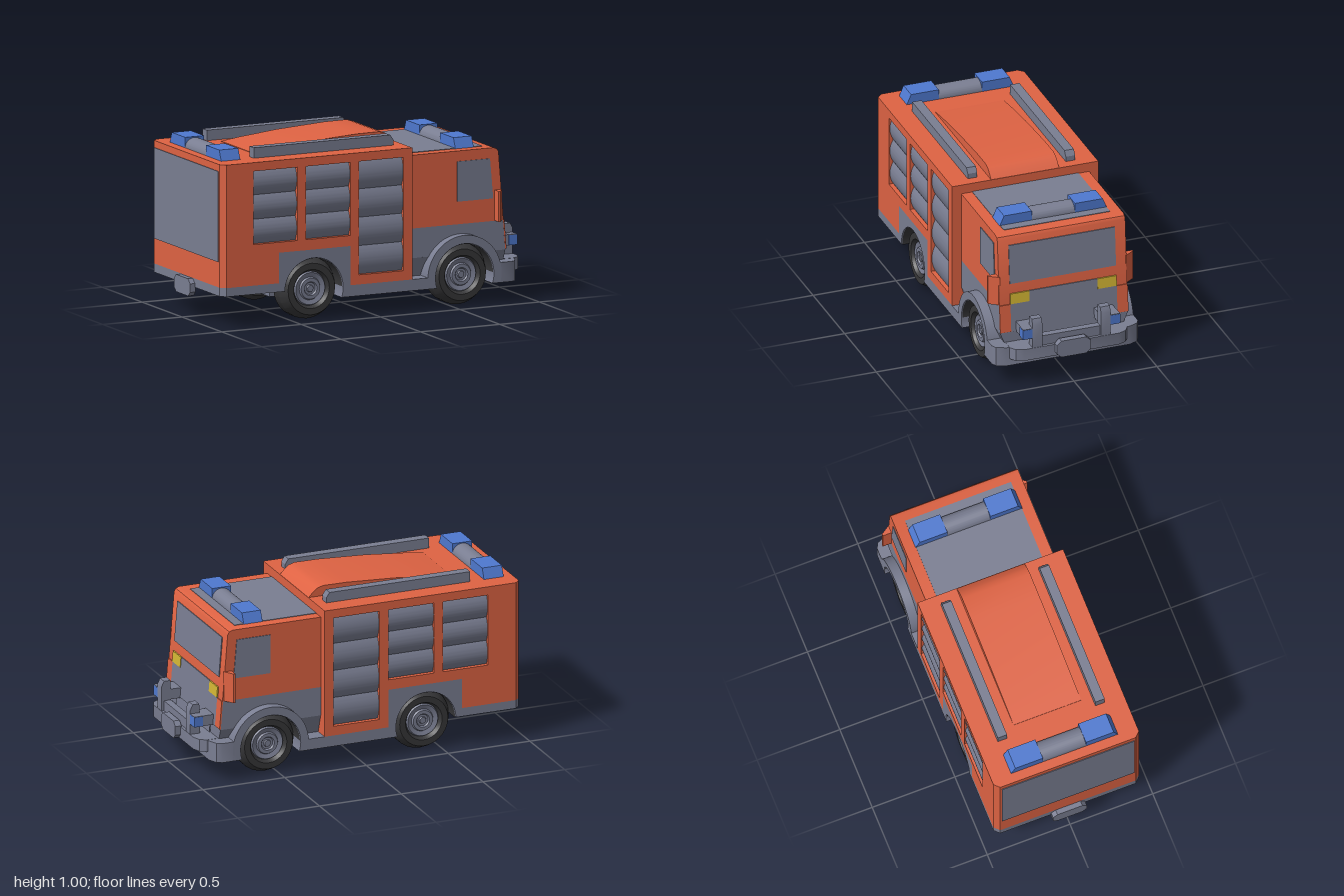
import * as THREE from 'three';
import { toCreasedNormals } from 'three/addons/utils/BufferGeometryUtils.js';

const paint = (name, color) => Object.assign(new THREE.MeshStandardMaterial({ color }), { name });

export function createModel() {
  const truck = new THREE.Group();
  truck.name = 'fireTruck';
  const red = paint('orangeRed', 0xdf6343);
  const grey = paint('grey', 0x7a7e92);
  const black = paint('tyreBlack', 0x373739);
  black.side = THREE.DoubleSide;
  const blue = paint('blue', 0x4f79d0);
  const yellow = paint('yellow', 0xd4b634);

  const add = (name, geometry, material) => {
    const mesh = new THREE.Mesh(geometry, material);
    mesh.name = name;
    truck.add(mesh);
    return mesh;
  };
  const outline = (pts) => new THREE.Shape(pts.map(([x, y]) => new THREE.Vector2(x, y)));
  const extrude = (shape, depth) =>
    toCreasedNormals(new THREE.ExtrudeGeometry(shape, { depth, bevelEnabled: false, curveSegments: 20 }), 0.5);
  // box from its limits
  const box = (name, mat, x0, x1, y0, y1, z0, z1) =>
    add(name, new THREE.BoxGeometry(x1 - x0, y1 - y0, z1 - z0)
      .translate((x0 + x1) / 2, (y0 + y1) / 2, (z0 + z1) / 2), mat);
  // side profile (x, y) extruded across z
  const prism = (name, mat, shape, z0, z1) =>
    add(name, extrude(Array.isArray(shape) ? outline(shape) : shape, z1 - z0).translate(0, 0, z0), mat);
  // plan (x, z) extruded upward
  const plan = (name, mat, pts, y0, y1) =>
    add(name, extrude(outline(pts.map(([x, z]) => [x, -z])), y1 - y0).rotateX(-Math.PI / 2).translate(0, y0, 0), mat);
  // cross-section (z, y) extruded along x
  const section = (name, mat, pts, x0, x1) =>
    add(name, extrude(outline(pts.map(([z, y]) => [-z, y])), x1 - x0).rotateY(Math.PI / 2).translate(x0, 0, 0), mat);
  // z range on side s
  const side = (s, a, b) => (s > 0 ? [a, b] : [-b, -a]);

  const wheelY = 0.178, archR = 0.184, rearX = -0.39, frontX = 0.56;
  const archAngle = Math.asin((0.12 - wheelY) / archR);

  // Chassis and solid cores
  box('chassis', grey, -0.57, 0.83, 0.12, 0.45, -0.24, 0.24);
  box('bodyCore', red, -0.97, 0.23, 0.41, 0.94, -0.41, 0.41);
  box('rearLowerBody', red, -0.97, -0.61, 0.235, 0.41, -0.41, 0.41);
  box('middleLowerBody', red, -0.16, 0.23, 0.185, 0.41, -0.41, 0.41);
  plan('rearSill', grey, [[-0.575, 0.44], [-0.575, -0.44], [-0.94, -0.44], [-0.97, -0.41], [-0.97, 0.41], [-0.94, 0.44]], 0.185, 0.235);
  box('middleSill', grey, -0.2, 0.375, 0.12, 0.185, -0.44, 0.44);
  box('rearPanel', grey, -0.974, -0.969, 0.38, 0.9, -0.4, 0.4);

  // Cab, with a slanting front
  const slope = (y) => 0.8 + 0.05 * (0.86 - y) / 0.62;
  prism('cabUpper', red, [[0.23, 0.465], [slope(0.465), 0.465], [0.8, 0.86], [0.79, 0.877], [0.77, 0.885], [0.23, 0.885]], -0.385, 0.385);
  const frontPlate = (name, mat, y0, y1, z0, z1, t = 0.005) =>
    prism(name, mat, [[slope(y0) - 0.003, y0], [slope(y0) + t, y0], [slope(y1) + t, y1], [slope(y1) - 0.003, y1]], z0, z1);
  frontPlate('windscreen', grey, 0.59, 0.825, -0.32, 0.32);
  frontPlate('grille', grey, 0.3, 0.47, -0.32, 0.32);
  frontPlate('grilleTop', grey, 0.47, 0.53, -0.205, 0.205);
  frontPlate('cabFrontLower', grey, 0.235, 0.465, -0.24, 0.24, 0);
  box('cabRoofPanel', grey, 0.23, 0.73, 0.883, 0.888, -0.32, 0.32);

  const shutters = [[-0.77, -0.495, 0.47, 3], [-0.44, -0.16, 0.47, 3], [-0.105, 0.175, 0.24, 4]];
  for (const s of [1, -1]) {
    // Body side wall with shutter openings
    const wall = outline([[-0.94, 0.235], [-0.61, 0.235], [-0.61, 0.41], [-0.16, 0.41], [-0.16, 0.185],
      [0.23, 0.185], [0.23, 0.94], [-0.94, 0.94]]);
    for (const [x0, x1, y0] of shutters)
      wall.holes.push(new THREE.Path([[x0, y0], [x0, 0.89], [x1, 0.89], [x1, y0]].map((p) => new THREE.Vector2(...p))));
    prism('bodySide', red, wall, ...side(s, 0.41, 0.44));
    plan('rearCorner', red, [[-0.94, s * 0.41], [-0.94, s * 0.44], [-0.97, s * 0.41]], 0.235, 0.94);

    // Roller shutters made of bulging slats
    for (const [x0, x1, y0, n] of shutters) {
      const h = (0.89 - y0) / n;
      const profile = new THREE.Shape().moveTo(-0.01, y0);
      profile.lineTo(0.004, y0);
      for (let i = 0; i < n; i++) profile.quadraticCurveTo(0.045, y0 + h * (i + 0.5), 0.004, y0 + h * (i + 1));
      profile.lineTo(-0.01, 0.89);
      const slats = add('shutter', extrude(profile, x1 - x0).translate(0, 0, (x0 - x1) / 2), grey);
      slats.rotation.y = -s * Math.PI / 2;
      slats.position.set((x0 + x1) / 2, 0, s * 0.41);
    }

    // Rear wheel panel
    const rear = new THREE.Shape().moveTo(-0.16, 0.12);
    rear.lineTo(-0.16, 0.41).lineTo(-0.61, 0.41).lineTo(-0.61, 0.185);
    rear.absarc(rearX, wheelY, archR, Math.PI - 0.038, archAngle, true);
    prism('rearWheelPanel', grey, rear, ...side(s, 0.24, 0.44));

    // Lower cab side, tucked in along its bottom edge
    const lower = outline([[slope(0.295), 0.295], [slope(0.465), 0.465], [0.23, 0.465], [0.23, 0.295]]);
    lower.absarc(frontX, wheelY, archR, Math.PI - 0.69, 0.69, true);
    prism('cabLowerSide', grey, lower, ...side(s, 0.24, 0.385));
    for (const [x0, x1, y0, z] of [[0.23, 0.372, 0.18, 0.345], [0.75, 0.843, 0.235, 0.36]]) {
      const tuck = [[s * 0.24, y0], [s * z, y0], [s * 0.385, 0.295], [s * 0.24, 0.295]];
      section('cabSkirt', grey, tuck, x0, x1);
    }

    // Front mudguard
    const guard = new THREE.Shape();
    guard.absarc(frontX, wheelY, archR, archAngle, Math.PI - archAngle, false);
    guard.absarc(frontX, wheelY, 0.232, Math.PI + 0.253, -0.253, true);
    prism('frontMudguard', grey, guard, ...side(s, 0.24, 0.44));

    // Cab details
    prism('sideWindow', grey, [[0.54, 0.595], [0.765, 0.595], [0.745, 0.825], [0.54, 0.825]], ...side(s, 0.382, 0.389));
    frontPlate('frontPillarLower', red, 0.3, 0.466, ...side(s, 0.32, 0.386));
    frontPlate('headlight', yellow, 0.468, 0.53, ...side(s, 0.205, 0.32), 0.008);
    plan('mirror', red, [[0.775, s * 0.38], [0.775, s * 0.437], [0.787, s * 0.437], [0.825, s * 0.38]], 0.467, 0.642);

    // Bull bar side and fog light
    prism('bullBarPost', grey, [[0.905, 0.23], [0.965, 0.23], [0.965, 0.38], [0.95, 0.412], [0.91, 0.412]], ...side(s, 0.177, 0.235));
    box('bullBarArm', grey, 0.83, 0.915, 0.297, 0.358, ...side(s, 0.18, 0.29));
    box('fogLight', blue, 0.912, 0.965, 0.297, 0.355, ...side(s, 0.235, 0.293));
    box('fogLightCap', grey, 0.912, 0.964, 0.354, 0.359, ...side(s, 0.235, 0.292));

    // Roof rail
    prism('roofRail', grey, [[-0.71, 0.935], [0.17, 0.935], [0.17, 0.97], [0.15, 1], [-0.71, 1]], ...side(s, 0.267, 0.323));

    // Wheels in dark wheel arches
    for (const x of [rearX, frontX]) {
      const liner = new THREE.CylinderGeometry(0.181, 0.181, 0.19, 28, 1, true, -1.55, 3.1);
      add('wheelArchLiner', liner.rotateX(-Math.PI / 2), black).position.set(x, wheelY, s * 0.34);
      const lathe = (name, mat, pts) => {
        const g = new THREE.LatheGeometry(pts.map((p) => new THREE.Vector2(...p)), 28);
        const mesh = add(name, toCreasedNormals(g, 0.5), mat);
        mesh.rotation.x = s * Math.PI / 2;
        mesh.position.set(x, wheelY, s * 0.325);
      };
      lathe('tyre', black, [[0, -0.085], [0.148, -0.085], [0.178, -0.04], [0.178, 0.025], [0.148, 0.085],
        [0.112, 0.085], [0.098, 0.06], [0.098, 0.04]]);
      lathe('hub', grey, [[0.1, 0.055], [0.092, 0.07], [0.066, 0.062], [0.06, 0.074],
        [0.04, 0.074], [0.034, 0.064], [0.022, 0.064], [0.018, 0.072], [0, 0.072]]);
    }
  }

  // Front bumper with a projecting step, bull bar and end plates
  plan('frontBumper', grey, [[0.75, 0.44], [0.855, 0.44], [0.885, 0.425], [0.908, 0.37], [0.908, -0.37],
    [0.885, -0.425], [0.855, -0.44], [0.75, -0.44]], 0.12, 0.235);
  plan('bumperStep', grey, [[0.85, 0.353], [0.915, 0.353], [0.95, 0.33], [0.967, 0.285], [0.967, -0.285],
    [0.95, -0.33], [0.915, -0.353], [0.85, -0.353]], 0.165, 0.236);
  box('bullBarCross', grey, 0.908, 0.95, 0.235, 0.295, -0.18, 0.18);
  const plate = (y0, y1) => [[-0.102, y0 + 0.025], [-0.075, y0], [0.075, y0], [0.102, y0 + 0.025],
    [0.102, y1 - 0.025], [0.075, y1], [-0.075, y1], [-0.102, y1 - 0.025]];
  section('frontHitch', grey, plate(0.165, 0.267), 0.962, 1);
  section('rearHitch', grey, plate(0.133, 0.232), -1, -0.965);

  // Curved roof hatch
  prism('roofHatch', red, [[-0.65, 0.938], [0.23, 0.938], [0.205, 0.965], [0.175, 0.99], [0.14, 1],
    [0, 0.999], [-0.3, 0.982], [-0.55, 0.957], [-0.65, 0.943]], -0.205, 0.205);

  // Light bars with a rounded centre
  for (const [x0, x1, y] of [[-0.915, -0.795, 0.94], [0.56, 0.675, 0.885]]) {
    const centre = new THREE.Shape();
    centre.absellipse((x0 + x1) / 2, y, (x1 - x0) / 2, 0.055, 0, Math.PI, false);
    prism('lightBarCentre', grey, centre, -0.135, 0.135);
    section('lightBarLeft', blue, [[0.13, y], [0.323, y], [0.297, y + 0.06], [0.13, y + 0.06]], x0, x1);
    section('lightBarRight', blue, [[-0.13, y], [-0.13, y + 0.06], [-0.297, y + 0.06], [-0.323, y]], x0, x1);
  }
  return truck;
}
